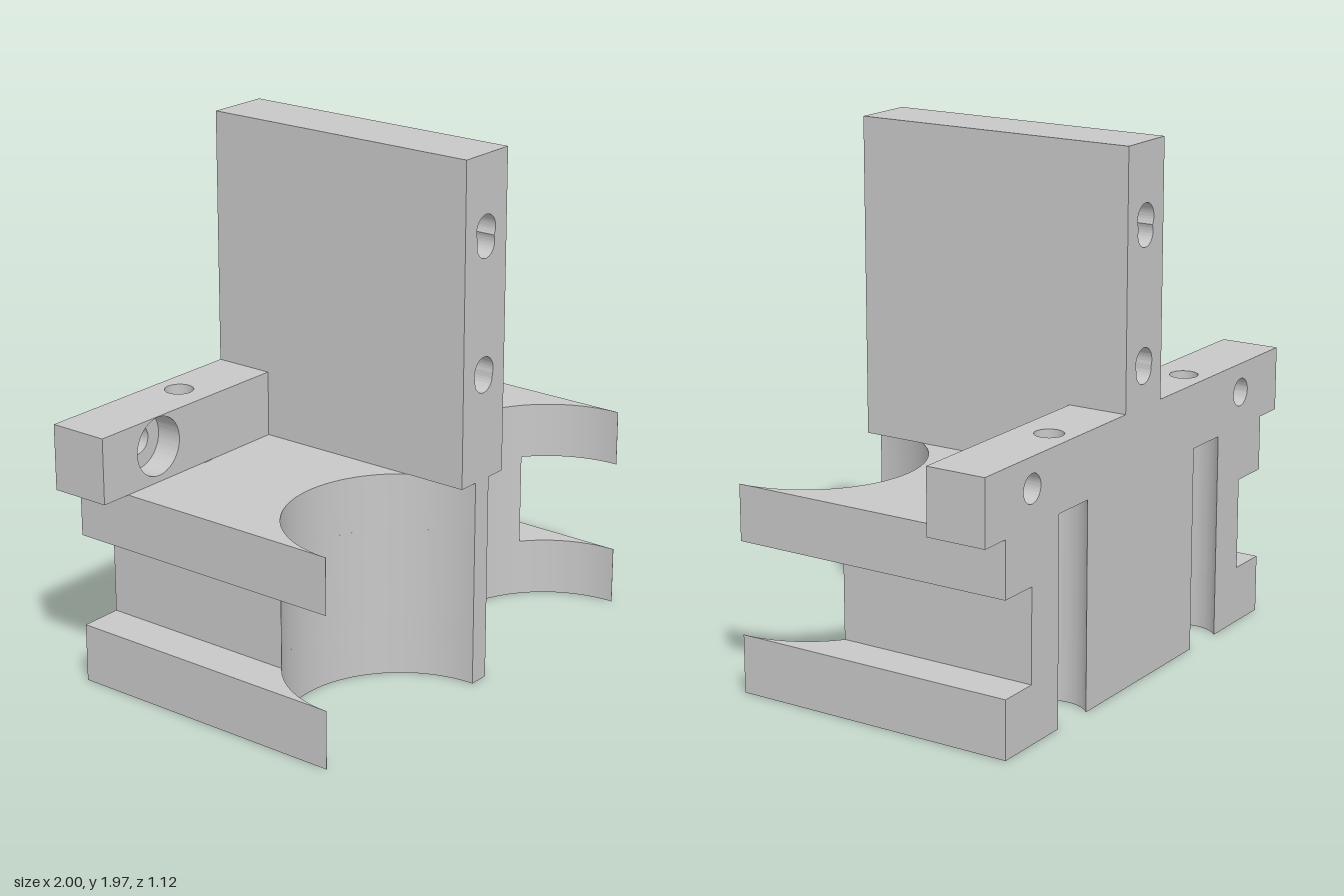
import * as THREE from 'three';
import { toCreasedNormals } from 'three/addons/utils/BufferGeometryUtils.js';

const BACK = -0.558, FRONT = 0.558;
const BODY_TOP = 0.782, BAR_TOP = 1.027, FIN_TOP = 1.973;
const BAR_FRONT = -0.327;
const BORE_X = 0.46, BORE_Z = -0.459, HOLE_R = 0.053;

export function createModel() {
  const model = new THREE.Group();
  const grey = new THREE.MeshStandardMaterial({ color: 0xc8c8c8 });
  grey.name = 'plain grey';

  const add = (name, geometry) => {
    const mesh = new THREE.Mesh(toCreasedNormals(geometry, 0.5), grey);
    mesh.name = name;
    model.add(mesh);
  };
  const extrude = (shape, depth) =>
    new THREE.ExtrudeGeometry(shape, { depth, bevelEnabled: false, curveSegments: 40 });
  // Plan outline (x, z) raised from y0 to y1
  const raise = (shape, y0, y1) => extrude(shape, y1 - y0).rotateX(Math.PI / 2).translate(0, y1, 0);
  // Front outline (x, y) run from z0 to z1
  const run = (shape, z0, z1) => extrude(shape, z1 - z0).translate(0, 0, z0);

  const rect = (x0, y0, x1, y1) => new THREE.Shape([
    new THREE.Vector2(x0, y0), new THREE.Vector2(x1, y0),
    new THREE.Vector2(x1, y1), new THREE.Vector2(x0, y1)]);
  const circle = (x, y, r) => new THREE.Path().absarc(x, y, r, 0, Math.PI * 2, true);

  // Body plan: two round cradles in front, two open channels at the back
  function bodyPlan(w) {
    const cradleX = 0.459, R = 0.42, r = 0.135;
    const tip = Math.acos(Math.min(1, (w - cradleX) / R));
    const tipZ = FRONT - R * Math.sin(tip);
    const mouth = Math.asin((BACK - BORE_Z) / r);
    const s = new THREE.Shape();
    s.moveTo(-w, tipZ);
    s.lineTo(-w, BACK);
    for (const x of [-BORE_X, BORE_X])
      s.absarc(x, BORE_Z, r, Math.PI - mouth, mouth, true);
    s.lineTo(w, BACK);
    s.lineTo(w, tipZ);
    s.absarc(cradleX, FRONT, R, -tip, -Math.PI, true);
    s.absarc(-cradleX, FRONT, R, 0, -Math.PI + tip, true);
    s.closePath();
    return s;
  }
  add('lowerBody', raise(bodyPlan(0.88), 0, 0.22));
  add('notchedBody', raise(bodyPlan(0.72), 0.22, 0.571));
  add('upperBody', raise(bodyPlan(0.88), 0.571, BODY_TOP));

  // Upright fin with two keyhole passages
  const fin = rect(-0.12, BODY_TOP, 0.12, FIN_TOP);
  for (const [top, low] of [[1.703, 1.652], [1.187, 1.161]]) {
    const a = 0.055, b = 0.051, d = top - low;
    // Height above the low circle's centre where the two circles meet
    const h = (d * d + b * b - a * a) / (2 * d);
    const halfWidth = Math.sqrt(b * b - h * h);
    const upper = Math.atan2(h - d, halfWidth), lower = Math.atan2(h, halfWidth);
    const hole = new THREE.Path();
    hole.absarc(0, top, a, upper, Math.PI - upper, false);
    hole.absarc(0, low, b, Math.PI - lower, Math.PI * 2 + lower, false);
    fin.holes.push(hole);
  }
  add('fin', run(fin, BACK, FRONT));

  // Mounting arms: upright bore inside, counterbored bolt hole outside
  for (const [side, label] of [[1, 'left'], [-1, 'right']]) {
    const span = (a, b) => [Math.min(a * side, b * side), Math.max(a * side, b * side)];

    const [i0, i1] = span(0.12, 0.59);
    const inner = rect(i0, BACK, i1, BAR_FRONT);
    inner.holes.push(circle(side * BORE_X, BORE_Z, HOLE_R));
    add(label + 'ArmInner', raise(inner, BODY_TOP, BAR_TOP));

    const [o0, o1] = span(0.59, 1);
    const seat = BAR_FRONT - 0.1;
    for (const [name, r, z0, z1] of [
      ['ArmBoltHole', HOLE_R, BACK, seat], ['ArmCounterbore', 0.109, seat, BAR_FRONT]]) {
      const outer = rect(o0, BODY_TOP, o1, BAR_TOP);
      outer.holes.push(circle(side * 0.718, 0.915, r));
      add(label + name, run(outer, z0, z1));
    }
  }
  return model;
}
